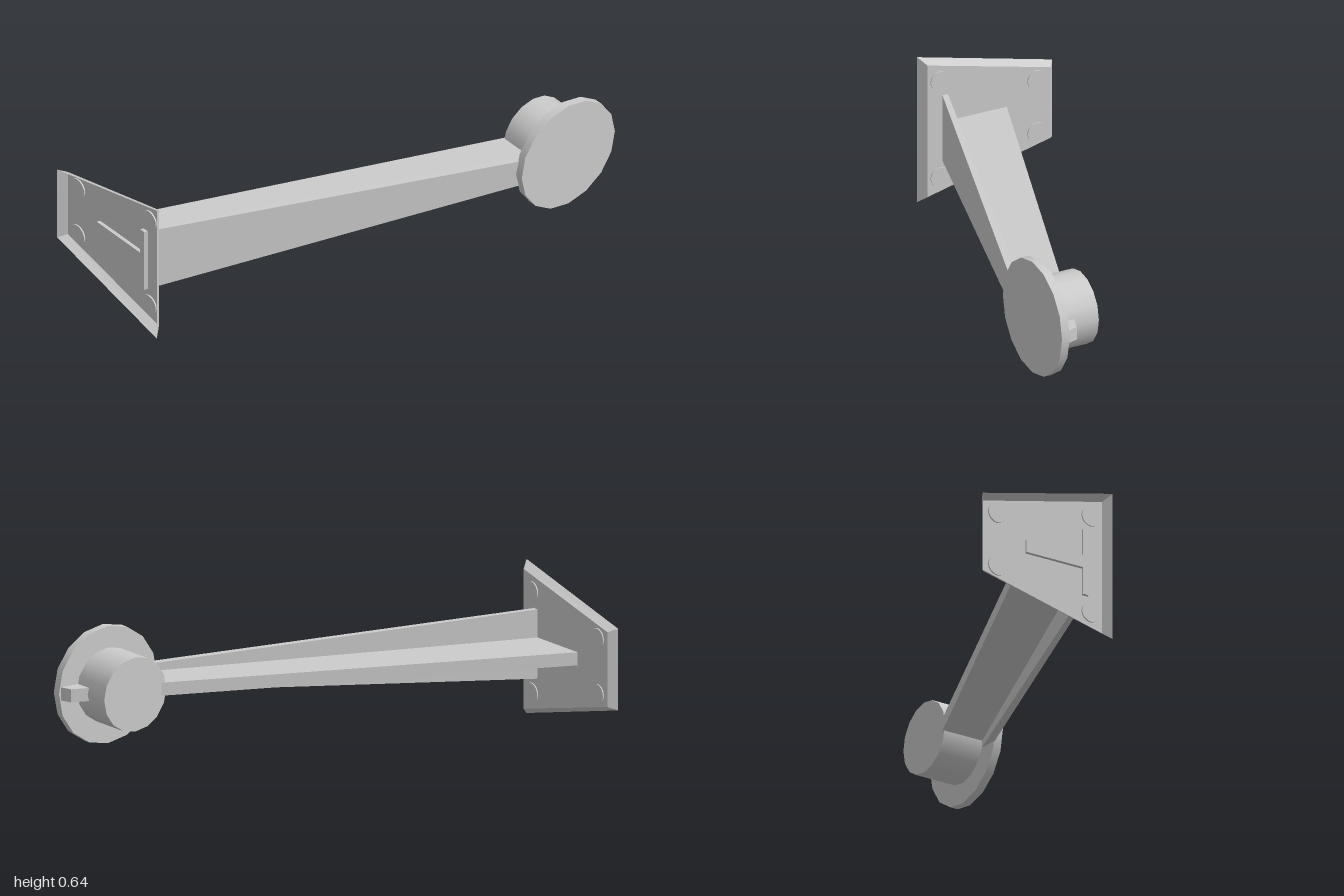
import * as THREE from 'three';

const MID = 0.318; // height of the horizontal centre line

export function createModel() {
  const group = new THREE.Group();
  const grey = new THREE.MeshStandardMaterial({ color: 0xcccccc });
  const thin = new THREE.MeshStandardMaterial({ color: 0xcccccc, side: THREE.DoubleSide });

  function add(name, geometry, material = grey) {
    const mesh = new THREE.Mesh(geometry, material);
    mesh.name = name;
    group.add(mesh);
    return mesh;
  }

  // Upright prism over an [x, z] outline; half height may vary along x
  function prism(outline, halfHeight) {
    const shape = new THREE.Shape(outline.map(([x, z]) => new THREE.Vector2(x, -z)));
    const geo = new THREE.ExtrudeGeometry(shape, { depth: 2, bevelEnabled: false });
    geo.rotateX(-Math.PI / 2).translate(0, -1, 0);
    const p = geo.attributes.position;
    for (let i = 0; i < p.count; i++) p.setY(i, MID + p.getY(i) * halfHeight(p.getX(i)));
    geo.computeVertexNormals();
    return geo;
  }

  // Wall plate: a shallow tapered shell, open at the back
  const outer = [[0, 0.083], [0.15, -0.53], [0.487, -0.53], [0.636, 0.083]];
  const inner = [[0.03, 0.055], [0.164, -0.505], [0.473, -0.505], [0.607, 0.055]];
  const points = [
    ...outer.flatMap(([y, z]) => [-1, y, z]),
    ...inner.flatMap(([y, z]) => [-0.965, y, z]),
  ];
  const index = [4, 5, 6, 4, 6, 7];
  for (let i = 0; i < 4; i++) {
    const j = (i + 1) % 4;
    index.push(i, j, j + 4, i, j + 4, i + 4);
  }
  let plate = new THREE.BufferGeometry();
  plate.setAttribute('position', new THREE.Float32BufferAttribute(points, 3));
  plate.setIndex(index);
  plate = plate.toNonIndexed();
  plate.computeVertexNormals();
  add('wallPlate', plate, thin);

  // Four flat bolt heads through the plate
  for (const side of [-1, 1]) {
    for (const [z, dy] of [[0, 0.21], [-0.44, 0.115]]) {
      const bolt = new THREE.CylinderGeometry(0.042, 0.042, 0.011, 16).rotateZ(-Math.PI / 2);
      add('bolt', bolt).position.set(-0.9655, MID + side * dy, z);
    }
  }

  // T-section arm: tapering upright web and a level rib behind it
  add('armWeb', prism(
    [[-0.98, -0.018], [0.6, 0.528], [0.61, 0.497], [-0.98, -0.043]],
    (x) => 0.143 - (x + 0.965) * 0.0559,
  ));
  add('armRib', prism(
    [[-0.98, -0.311], [-0.98, -0.035], [0.6, 0.502], [0.99, 0.502], [0.975, 0.454]],
    () => 0.027,
  ));

  // Round head at the end of the arm: hub and front disc
  function round(name, radius, z0, z1) {
    const geo = new THREE.CylinderGeometry(radius, radius, z1 - z0, 16).rotateX(Math.PI / 2);
    add(name, geo).position.set(0.758, MID, (z0 + z1) / 2);
  }
  round('hub', 0.153, 0.318, 0.502);
  round('frontDisc', 0.242, 0.5, 0.535);

  return group;
}
